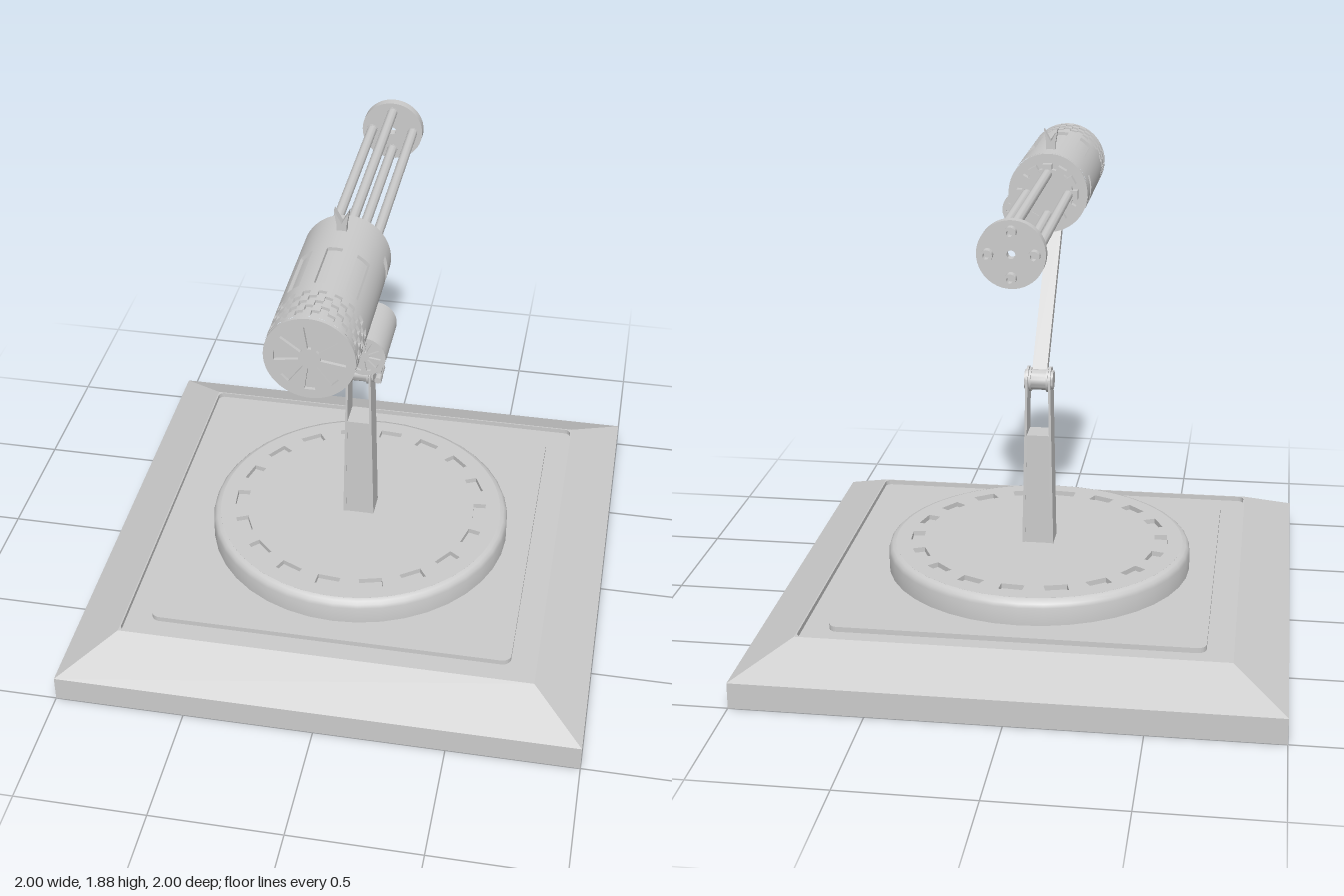
import * as THREE from 'three';
import { toCreasedNormals } from 'three/addons/utils/BufferGeometryUtils.js';

const grey = new THREE.MeshStandardMaterial({ color: 0xcccccc });
const V2 = (x, y) => new THREE.Vector2(x, y);

function add(parent, name, geo, x = 0, y = 0, z = 0, crease = true) {
  const m = new THREE.Mesh(crease ? toCreasedNormals(geo, 0.6) : geo, grey);
  m.name = name;
  m.position.set(x, y, z);
  parent.add(m);
  return m;
}

const extrude = (shape, depth, curveSegments = 16) =>
  new THREE.ExtrudeGeometry(shape, { depth, bevelEnabled: false, curveSegments });
// Extrusion lying flat, rising along +y
const slab = (shape, depth, segs) => extrude(shape, depth, segs).rotateX(-Math.PI / 2);
// Cylinders along z and along x
const rodZ = (r, len, segs = 24) => new THREE.CylinderGeometry(r, r, len, segs).rotateX(Math.PI / 2);
const rodX = (r, len, segs = 24) => new THREE.CylinderGeometry(r, r, len, segs).rotateZ(Math.PI / 2);

function roundedSquare(h, r, target = new THREE.Shape()) {
  const q = Math.PI / 2, c = h - r;
  [[c, c], [-c, c], [-c, -c], [c, -c]].forEach(([x, y], i) => target.absarc(x, y, r, i * q, (i + 1) * q, false));
  target.closePath();
  return target;
}

function disc(r) {
  return new THREE.Shape().absarc(0, 0, r, 0, Math.PI * 2, false);
}

// Hole with given half widths at its inner and outer radius, turned by angle
function radialHole(r0, r1, w0, w1, angle) {
  const o = V2(0, 0);
  return new THREE.Path([V2(r0, -w0), V2(r0, w0), V2(r1, w1), V2(r1, -w1)].map(p => p.rotateAround(o, angle)));
}

// Cylinder skin along z, made of cells that can each be sunk by sink(degrees, column)
function cellShell(r, cuts, n, sink) {
  const pos = [], step = 360 / n;
  const P = (i, z, rad) => {
    const a = THREE.MathUtils.degToRad(i * step);
    return [rad * Math.sin(a), rad * Math.cos(a), z];
  };
  const quad = (a, b, c, d) => pos.push(...a, ...b, ...c, ...a, ...c, ...d);
  const R = (i, j) => r - sink((((i % n) + n) % n + 0.5) * step, j);
  for (let j = 0; j < cuts.length - 1; j++) {
    const z0 = cuts[j], z1 = cuts[j + 1];
    for (let i = 0; i < n; i++) {
      const A = R(i, j), B = R(i + 1, j);
      quad(P(i, z0, A), P(i, z1, A), P(i + 1, z1, A), P(i + 1, z0, A));
      if (A !== B) quad(P(i + 1, z0, A), P(i + 1, z1, A), P(i + 1, z1, B), P(i + 1, z0, B));
      const C = j < cuts.length - 2 ? R(i, j + 1) : A;
      if (A !== C) quad(P(i, z1, A), P(i, z1, C), P(i + 1, z1, C), P(i + 1, z1, A));
    }
  }
  const g = new THREE.BufferGeometry();
  g.setAttribute('position', new THREE.Float32BufferAttribute(pos, 3));
  g.computeVertexNormals();
  return g;
}

// End cap with a fan of sunken wedges, facing +z
function fanCap(name, r, count, depth) {
  const g = new THREE.Group();
  g.name = name;
  const s = disc(r);
  for (let k = 0; k < count; k++)
    s.holes.push(radialHole(r * 0.24, r * 0.78, r * 0.04, r * 0.12, (k / count) * Math.PI * 2));
  add(g, name + 'Face', extrude(s, depth, 36));
  add(g, name + 'Floor', new THREE.CircleGeometry(r * 0.95, 36), 0, 0, 0.001, false);
  return g;
}

function makeBase() {
  const g = new THREE.Group();
  g.name = 'base';
  add(g, 'baseSlab', new THREE.BoxGeometry(2, 0.1, 2), 0, 0.05, 0);
  const slope = new THREE.CylinderGeometry(0.8 * Math.SQRT2, Math.SQRT2, 0.1, 4, 1, true).rotateY(Math.PI / 4);
  add(g, 'baseSlope', slope, 0, 0.15, 0);
  add(g, 'grooveFloor', new THREE.BoxGeometry(1.6, 0.08, 1.6), 0, 0.14, 0);
  const rim = new THREE.Shape([V2(-0.8, -0.8), V2(0.8, -0.8), V2(0.8, 0.8), V2(-0.8, 0.8)]);
  rim.holes.push(roundedSquare(0.795, 0.025, new THREE.Path()));
  add(g, 'baseRim', slab(rim, 0.02, 6), 0, 0.18, 0);
  add(g, 'deckPlate', slab(roundedSquare(0.7, 0.035), 0.02, 6), 0, 0.18, 0);

  // Turntable with a ring of slots in its top
  const side = [V2(0, 0.28), V2(0.57, 0.28), V2(0.57, 0.3), V2(0.585, 0.295), V2(0.595, 0.285), V2(0.6, 0.27), V2(0.6, 0.2)];
  add(g, 'turntable', new THREE.LatheGeometry(side.reverse(), 40));
  const top = disc(0.57);
  for (let k = 0; k < 18; k++)
    top.holes.push(radialHole(0.46, 0.51, 0.045, 0.045, THREE.MathUtils.degToRad(5 + 20 * k)));
  add(g, 'turntableTop', slab(top, 0.02, 40), 0, 0.28, 0);
  return g;
}

function makeStand() {
  const g = new THREE.Group();
  g.name = 'stand';
  // Everything narrows in x towards the top
  const taper = geo => {
    const p = geo.attributes.position;
    for (let i = 0; i < p.count; i++) p.setX(i, p.getX(i) * (1 - 0.33 * (p.getY(i) - 0.3)));
    geo.computeVertexNormals();
    return geo;
  };
  add(g, 'post', taper(new THREE.BoxGeometry(0.106, 0.45, 0.1).translate(0, 0.525, 0)));
  const cheek = new THREE.Shape();
  cheek.moveTo(-0.052, 0.3).lineTo(0.052, 0.3).lineTo(0.052, 0.965);
  cheek.absarc(0, 0.965, 0.052, 0, Math.PI, false).closePath();
  for (const s of [-1, 1]) {
    const geo = extrude(cheek, 0.011).rotateY(Math.PI / 2).translate(s > 0 ? 0.051 : -0.062, 0, 0);
    add(g, 'cheek', taper(geo));
    add(g, 'pinHead', rodX(0.038, 0.012), s * 0.05, 0.965, 0);
    add(g, 'hubFlange', rodX(0.047, 0.008), s * 0.033, 0.965, 0);
  }
  add(g, 'hub', rodX(0.04, 0.09), 0, 0.965, 0);
  add(g, 'arm', new THREE.BoxGeometry(0.058, 0.76, 0.04), 0, 1.235, 0.265).rotation.x = Math.PI / 4;
  return g;
}

function makeGun() {
  const g = new THREE.Group();
  g.name = 'gun';
  g.position.y = 1.647;

  // Housing: side slits, top panels and a checkered grip band
  const cuts = [0.26, 0.335, 0.375, 0.48, 0.71, 0.757, 0.787, 0.817, 0.847, 0.877, 0.905, 0.918];
  const sink = (deg, j) => {
    const a = Math.min(deg, 360 - deg);
    if (j === 1) return a > 70 && a < 160 ? 0.012 : 0;
    if (j === 3) return a < 10 || (a > 30 && a < 50) ? 0.012 : 0;
    if (j >= 5 && j <= 9) return (Math.floor(deg / 10) + j) % 2 ? 0.01 : 0;
    return 0;
  };
  add(g, 'housing', cellShell(0.157, cuts, 72, sink));
  add(g, 'housingFrontCap', rodZ(0.155, 0.015, 72), 0, 0, 0.26);
  const rear = fanCap('rearCap', 0.155, 8, 0.014);
  rear.position.z = 0.916;
  g.add(rear);

  // Notched collar
  add(g, 'collar', rodZ(0.1, 0.03, 36), 0, 0, 0.24);
  for (let k = 0; k < 12; k++) {
    const a = (k / 12) * Math.PI * 2;
    add(g, 'collarTooth', new THREE.BoxGeometry(0.03, 0.036, 0.035), Math.cos(a) * 0.104, Math.sin(a) * 0.104, 0.238)
      .rotation.z = a;
  }

  // Four barrels held by a disc near the muzzle
  const holder = disc(0.12);
  holder.holes.push(new THREE.Path().absarc(0, 0, 0.015, 0, Math.PI * 2, true));
  add(g, 'muzzleDisc', extrude(holder, 0.036, 24), 0, 0, -0.737);
  const tip = [V2(0.012, 0), V2(0.012, 0.07), V2(0.021, 0.07), V2(0.021, 0), V2(0.012, 0)].reverse();
  for (let k = 0; k < 4; k++) {
    const x = Math.round(Math.cos(k * Math.PI / 2)) * 0.081, y = Math.round(Math.sin(k * Math.PI / 2)) * 0.081;
    add(g, 'barrel', rodZ(0.019, 0.97, 20), x, y, -0.235);
    const tipGeo = new THREE.LatheGeometry(tip, 20).rotateX(Math.PI / 2);
    add(g, 'muzzle', tipGeo, x, y, -0.768).material = new THREE.MeshStandardMaterial({ color: 0xcccccc, side: THREE.DoubleSide });
  }

  // Forked sight
  const fork = new THREE.Shape([V2(-0.018, 0.145), V2(0.018, 0.145), V2(0.018, 0.18), V2(0.027, 0.235),
    V2(0, 0.185), V2(-0.027, 0.235), V2(-0.018, 0.18)]);
  add(g, 'sight', extrude(fork, 0.028), 0, 0, 0.338);
  return g;
}

function makeDrum() {
  const g = new THREE.Group();
  g.name = 'ammunitionDrum';
  g.position.set(0.14, 1.525, 0);
  const sink = (deg, j) => (j === 1 && deg > 100 && deg < 170 ? 0.025 : 0);
  add(g, 'drum', cellShell(0.076, [0.488, 0.54, 0.67, 0.702], 36, sink));
  const front = fanCap('drumFront', 0.075, 10, 0.01);
  front.position.z = 0.7;
  const back = fanCap('drumBack', 0.075, 10, 0.01);
  back.position.z = 0.49;
  back.rotation.y = Math.PI;
  g.add(front, back);

  // Short hanging belt of rounds
  const round = [V2(0, 0), V2(0.012, 0), V2(0.012, 0.085), V2(0.007, 0.095), V2(0.006, 0.115), V2(0, 0.135)];
  for (const [x, y] of [[0.042, -0.042], [0.044, -0.075], [0.041, -0.125]])
    add(g, 'round', new THREE.LatheGeometry(round, 12).rotateX(-Math.PI / 2), x, y, 0.665);
  for (const y of [-0.065, -0.1, -0.138])
    add(g, 'beltLink', new THREE.BoxGeometry(0.012, 0.032, 0.045), 0.042, y, 0.615);
  add(g, 'beltSpine', new THREE.BoxGeometry(0.006, 0.1, 0.025), 0.042, -0.095, 0.615);
  return g;
}

export function createModel() {
  const model = new THREE.Group();
  model.name = 'turret';
  model.add(makeBase(), makeStand(), makeGun(), makeDrum());
  return model;
}
